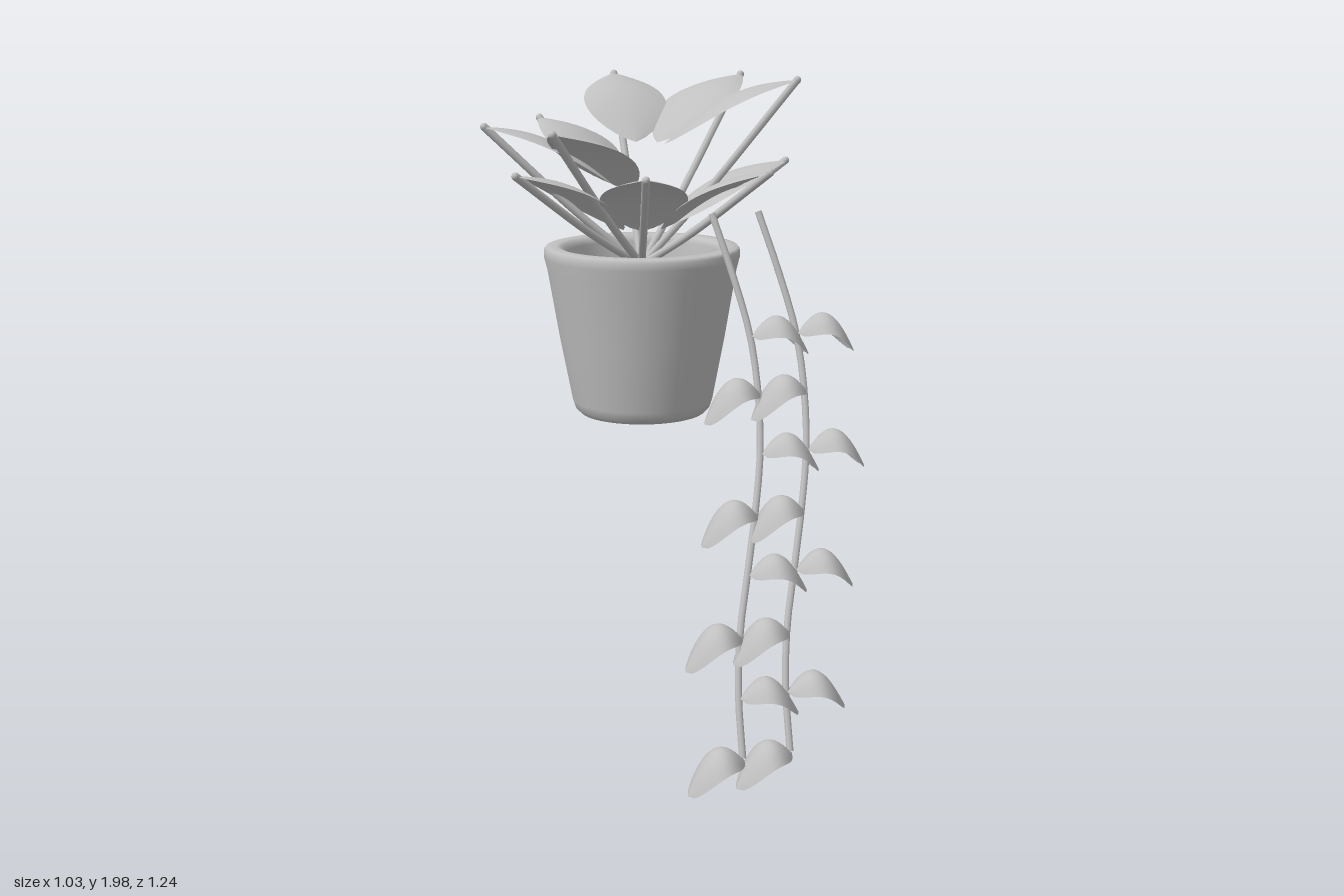
import * as THREE from 'three';

const clay = new THREE.MeshStandardMaterial({ color: 0xc0c0c0, side: THREE.DoubleSide });
clay.name = 'clay grey';

const V = (x, y, z) => new THREE.Vector3(x, y, z);

function add(parent, geometry, name) {
  const mesh = new THREE.Mesh(geometry, clay);
  mesh.name = name;
  parent.add(mesh);
  return mesh;
}

// Arched leaf blade from start to end; halfWidth(t) gives the outline (0..1)
function blade(start, end, width, outline, bow, droop) {
  const geo = new THREE.PlaneGeometry(1, 1, 10, 18);
  const along = end.clone().sub(start);
  const side = V(-along.z, 0, along.x).normalize();
  const p = geo.attributes.position;
  for (let i = 0; i < p.count; i++) {
    const v = p.getX(i) * 2;
    const t = p.getY(i) + 0.5;
    const w = outline(t);
    const q = start.clone().addScaledVector(along, t).addScaledVector(side, v * w * width);
    q.y += bow * Math.sin(Math.PI * t) - droop * v * v * w;
    p.setXYZ(i, q.x, q.y, q.z);
  }
  // keep the front faces on the upper side
  geo.computeVertexNormals();
  if (geo.attributes.normal.getY(Math.floor(p.count / 2)) < 0) {
    const idx = geo.index.array;
    for (let i = 0; i < idx.length; i += 3) [idx[i], idx[i + 1]] = [idx[i + 1], idx[i]];
    geo.computeVertexNormals();
  }
  return geo;
}

const bump = (t) => Math.max(0, Math.sin(Math.PI * Math.min(1, t)));
const rosetteOutline = (t) => 0.06 * (1 - t) + 0.97 * Math.pow(bump(Math.pow(t, 1.15)), 0.8);
const vineOutline = (t) => Math.pow(bump(t), 0.65);

function stalk(points, radius) {
  return new THREE.TubeGeometry(new THREE.CatmullRomCurve3(points), 24, radius, 8);
}

function makePot() {
  const pot = new THREE.Group();
  pot.name = 'pot';
  pot.position.set(-0.04, 0, -0.205);
  // Outer wall, rounded lip and inner wall
  const profile = [
    [0, 0.96], [0.175, 0.96], [0.195, 0.965], [0.21, 0.98], [0.218, 1.005],
    [0.255, 1.2], [0.29, 1.41], [0.3, 1.45], [0.3, 1.472], [0.293, 1.482],
    [0.26, 1.484], [0.243, 1.478], [0.235, 1.46], [0.228, 1.38],
  ].map(([r, y]) => new THREE.Vector2(r, y));
  add(pot, new THREE.LatheGeometry(profile, 48), 'pot body');
  // Slightly domed soil
  const soil = [[0.232, 1.405], [0.15, 1.415], [0, 1.425]].map(([r, y]) => new THREE.Vector2(r, y));
  add(pot, new THREE.LatheGeometry(soil, 40), 'soil');
  return pot;
}

function makeRosette() {
  const rosette = new THREE.Group();
  rosette.name = 'rosette';
  const root = V(-0.04, 1.42, -0.21);
  // Outer leaf tips: upper, middle and lower tiers
  const tips = [
    [0, 1.98, -0.6], [0.365, 1.98, -0.42], [0.41, 1.98, -0.07],
    [-0.26, 1.85, -0.56], [-0.51, 1.85, -0.27], [-0.395, 1.85, 0.065],
    [-0.475, 1.725, -0.05], [-0.155, 1.725, 0.175], [0.25, 1.725, 0.11], [0.435, 1.725, -0.21],
  ];
  for (const [x, y, z] of tips) {
    const tip = V(x, y, z);
    const out = V(x - root.x, 0, z - root.z).normalize();
    const inner = V(root.x, y - 0.19, root.z).addScaledVector(out, 0.07);
    add(rosette, blade(tip, inner, 0.13, rosetteOutline, 0.05, 0.025), 'rosette leaf');
    // Stem reaches from the soil to the outer tip
    const mid = root.clone().lerp(tip, 0.4);
    mid.y -= 0.012;
    add(rosette, stalk([root, mid, tip], 0.012), 'leaf stem');
    const cap = add(rosette, new THREE.SphereGeometry(0.012, 10, 8), 'stem end');
    cap.position.copy(tip);
  }
  return rosette;
}

function makeVine(shift) {
  const vine = new THREE.Group();
  vine.name = 'trailing vine';
  vine.position.x = shift;
  // Height and sideways position along the hanging stem
  const path = [
    [0.105, 1.6], [0.15, 1.42], [0.182, 1.25], [0.187, 1.09], [0.172, 0.92], [0.135, 0.755],
    [0.09, 0.59], [0.045, 0.425], [0.02, 0.26], [0.012, 0.095],
  ].map(([x, y]) => V(x, y, 0.015 + (1.6 - y) * 0.343));
  add(vine, stalk(path, 0.011), 'vine stem');
  // Leaves alternate right and left down the stem
  path.slice(2).forEach((p, i) => {
    const s = i % 2 ? -1 : 1;
    const base = p.clone().add(V(0, 0, 0.015));
    const tip = base.clone().add(V(s * 0.178, s > 0 ? -0.06 : -0.078, 0.012));
    add(vine, blade(base, tip, 0.072, vineOutline, 0.087, 0.055), 'vine leaf');
  });
  return vine;
}

export function createModel() {
  const model = new THREE.Group();
  model.name = 'potted trailing plant';
  model.add(makePot(), makeRosette(), makeVine(0), makeVine(0.148));
  return model;
}
